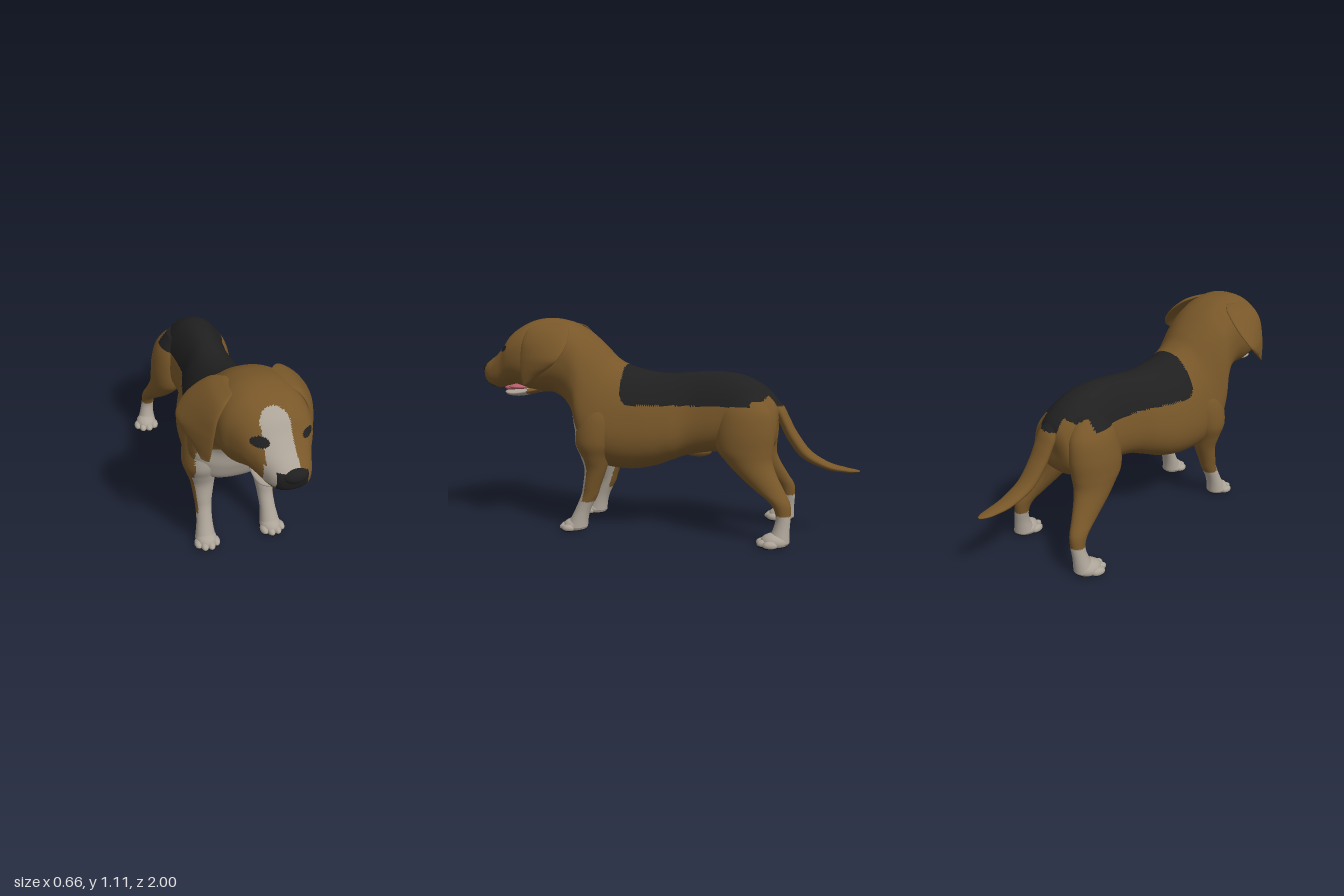
import * as THREE from 'three';

const material = (name, color) => {
  const m = new THREE.MeshStandardMaterial({ color });
  m.name = name;
  return m;
};

// Smooth curve through a list of equal-length rows
function smoothRows(rows, steps) {
  const out = [];
  const at = (i) => rows[Math.max(0, Math.min(rows.length - 1, i))];
  for (let i = 0; i < rows.length - 1; i++) {
    for (let k = 0; k < steps; k++) {
      const t = k / steps;
      out.push(rows[i].map((b, c) => {
        const a = at(i - 1)[c], d = at(i + 1)[c], e = at(i + 2)[c];
        return b + 0.5 * t * (d - a + t * (2 * a - 5 * b + 4 * d - e + t * (3 * (b - d) + e - a)));
      }));
    }
  }
  out.push(rows[rows.length - 1]);
  return out;
}

// Skin over rings given as [zA, yA, zB, yB, halfWidth, xA, xB]:
// A and B are opposite ends of the ring, taper(z) narrows it toward A,
// paint(x, y, z) picks a material index.
function loft(name, rows, { materials, steps = 6, sides = 40, power = 1, taper = () => 0, paint = () => 0 }) {
  const rings = smoothRows(rows.map((r) => (r.length < 7 ? [...r, r[5]] : r)), steps);
  const pos = [], faces = [];
  const bend = (v) => Math.sign(v) * Math.pow(Math.abs(v), power);
  for (const [zA, yA, zB, yB, w, xA, xB] of rings) {
    const narrow = taper((zA + zB) / 2);
    for (let j = 0; j < sides; j++) {
      const a = (j / sides) * Math.PI * 2, c = bend(Math.cos(a)), s = bend(Math.sin(a));
      pos.push((xA + xB) / 2 + w * c * (1 - narrow * s) + s * (xA - xB) / 2,
        (yA + yB) / 2 + s * (yA - yB) / 2, (zA + zB) / 2 + s * (zA - zB) / 2);
    }
  }
  for (const r of [rings[0], rings[rings.length - 1]]) pos.push((r[5] + r[6]) / 2, (r[1] + r[3]) / 2, (r[0] + r[2]) / 2);
  const last = rings.length - 1, cap = rings.length * sides;
  for (let j = 0; j < sides; j++) {
    const n = (j + 1) % sides;
    for (let i = 0; i < last; i++) {
      const a = i * sides + j, b = i * sides + n;
      faces.push([a, b, b + sides], [a, b + sides, a + sides]);
    }
    faces.push([cap, n, j], [cap + 1, last * sides + j, last * sides + n]);
  }
  // Sort faces by colour
  const buckets = materials.map(() => []);
  for (const f of faces) {
    const mid = [0, 1, 2].map((c) => (pos[f[0] * 3 + c] + pos[f[1] * 3 + c] + pos[f[2] * 3 + c]) / 3);
    buckets[paint(...mid)].push(...f);
  }
  const geo = new THREE.BufferGeometry();
  geo.setAttribute('position', new THREE.Float32BufferAttribute(pos, 3));
  geo.setIndex(buckets.flat());
  let start = 0;
  buckets.forEach((b, i) => {
    if (b.length) geo.addGroup(start, b.length, i);
    start += b.length;
  });
  geo.computeVertexNormals();
  const mesh = new THREE.Mesh(geo, materials);
  mesh.name = name;
  return mesh;
}

function blob(name, mat, [x, y, z], [rx, ry, rz], floor = -Infinity) {
  const geo = new THREE.SphereGeometry(1, 20, 12).scale(rx, ry, rz).translate(x, y, z);
  const p = geo.attributes.position;
  for (let i = 0; i < p.count; i++) p.setY(i, Math.max(floor, p.getY(i)));
  geo.computeVertexNormals();
  const mesh = new THREE.Mesh(geo, mat);
  mesh.name = name;
  return mesh;
}

// Paw with four toes and dark pads, toes toward +z
function paw(name, x, z, size, turn, coat, dark) {
  const g = new THREE.Group();
  g.name = name;
  g.add(blob('pawBody', coat, [0, 0.024, 0.004], [0.055, 0.04, 0.064], 0.008));
  g.add(blob('heelPad', dark, [0, 0.008, -0.006], [0.046, 0.008, 0.05]));
  for (const [dx, dz] of [[-0.046, 0.03], [-0.017, 0.052], [0.017, 0.052], [0.046, 0.03]]) {
    g.add(blob('toe', coat, [dx, 0.018, dz], [0.021, 0.02, 0.034], 0.008));
    g.add(blob('toePad', dark, [dx, 0.008, dz + 0.002], [0.018, 0.008, 0.031]));
  }
  g.position.set(x, 0, z);
  g.rotation.y = turn;
  g.scale.setScalar(size);
  return g;
}

const inOval = (x, y, cx, cy, rx, ry) => ((x - cx) / rx) ** 2 + ((y - cy) / ry) ** 2 < 1;

// Colour rules: 0 brown, 1 black, 2 white
const onSaddle = (x, y, z) => z < 0.21 && z > -0.62 && y > 0.672 &&
  (z < 0.145 || y > 0.735 || inOval(z, y, 0.145, 0.735, 0.065, 0.065)) &&
  (z > -0.46 || Math.abs(x - 0.02) < 0.062 || inOval(x, z, 0.015, -0.46, 0.14, 0.09));
const onChest = (x, y, z) => {
  const ax = Math.abs(x);
  return z > 0.36 && y < 0.63 && y > 0.37 && ax < 0.222 &&
    (ax < 0.18 || y < 0.58 || inOval(ax, y, 0.18, 0.58, 0.042, 0.05));
};
function paintBody(x, y, z) {
  if (onSaddle(x, y, z)) return 1;
  if (z < 0.6) return onChest(x, y, z) ? 2 : 0;
  if (z > 0.78 && (inOval(x, y, -0.065, 0.953, 0.038, 0.022) || inOval(x, y, 0.15, 0.951, 0.028, 0.017))) return 1;
  if (z > 0.925 && x > -0.025 && x < 0.108 && y < 0.86) return 1;
  const left = y < 0.87 ? -0.063 : -0.052;
  const blaze = y > 1.01 ? inOval(x, y, 0.01, 1.01, 0.066, 0.055) : y > 0.785 && x > left && x < 0.075;
  return z > 0.77 && blaze ? 2 : 0;
}

export function createModel() {
  const dog = new THREE.Group();
  dog.name = 'dog';
  const brown = material('brownCoat', 0x785729);
  const black = material('blackCoat', 0x202020);
  const white = material('whiteCoat', 0xada498);
  const pink = material('pinkTongue', 0xb8606c);
  const dark = material('darkPads', 0x141414);
  const coat = [brown, black, white];

  // Torso, neck, head and muzzle in one skin
  dog.add(loft('bodyAndHead', [
    [-0.6, 0.67, -0.585, 0.56, 0.05, 0.02],
    [-0.57, 0.72, -0.58, 0.48, 0.12, 0.015],
    [-0.5, 0.78, -0.53, 0.43, 0.16, 0.01],
    [-0.4, 0.825, -0.42, 0.42, 0.172, 0.01],
    [-0.28, 0.84, -0.28, 0.425, 0.156, 0.01],
    [-0.15, 0.835, -0.14, 0.405, 0.15, 0.01],
    [-0.02, 0.826, -0.05, 0.375, 0.183, 0.005],
    [0.09, 0.837, 0.05, 0.337, 0.208, 0],
    [0.2, 0.866, 0.17, 0.316, 0.22, 0],
    [0.27, 0.905, 0.3, 0.327, 0.23, 0],
    [0.32, 0.955, 0.41, 0.37, 0.236, 0],
    [0.37, 1.0, 0.455, 0.47, 0.235, 0],
    [0.42, 1.04, 0.475, 0.58, 0.222, 0],
    [0.47, 1.07, 0.53, 0.665, 0.205, 0],
    [0.53, 1.095, 0.6, 0.71, 0.2, 0],
    [0.62, 1.11, 0.67, 0.715, 0.202, 0],
    [0.7, 1.1, 0.735, 0.73, 0.2, 0.008],
    [0.76, 1.073, 0.775, 0.745, 0.184, 0.02],
    [0.82, 1.03, 0.815, 0.757, 0.16, 0.03],
    [0.865, 0.97, 0.86, 0.748, 0.13, 0.037],
    [0.91, 0.92, 0.905, 0.737, 0.108, 0.044],
    [0.95, 0.89, 0.945, 0.745, 0.088, 0.048],
    [0.978, 0.865, 0.972, 0.768, 0.063, 0.052],
    [0.99, 0.84, 0.985, 0.805, 0.03, 0.054],
  ], {
    materials: coat, steps: 11, sides: 120, power: 0.86, paint: paintBody,
    taper: (z) => 0.26 * (1 - THREE.MathUtils.smoothstep(z, 0.3, 0.55)),
  }));

  // Nose, mouth, lower jaw and belly detail
  dog.add(blob('nose', black, [0.054, 0.838, 0.962], [0.061, 0.038, 0.038]));
  dog.add(blob('mouthLining', pink, [0.028, 0.742, 0.8], [0.082, 0.015, 0.07]));
  dog.add(blob('tongue', pink, [0.034, 0.736, 0.848], [0.05, 0.015, 0.045]));
  dog.add(loft('lowerJaw', [
    [0.68, 0.75, 0.68, 0.715, 0.06, 0.015], [0.74, 0.742, 0.74, 0.7, 0.083, 0.02],
    [0.8, 0.732, 0.8, 0.69, 0.088, 0.026], [0.85, 0.726, 0.85, 0.694, 0.076, 0.029],
    [0.88, 0.722, 0.88, 0.706, 0.038, 0.031],
  ], { materials: [white, brown], paint: (x, y, z) => (z < 0.745 ? 1 : 0) }));
  dog.add(blob('bellySheath', brown, [0.01, 0.418, -0.17], [0.026, 0.03, 0.075]));

  // Tail, from tip to root
  dog.add(loft('tail', [
    [-1.0, 0.354, -0.998, 0.348, 0.008, 0.035], [-0.975, 0.36, -0.97, 0.344, 0.024, 0.035],
    [-0.93, 0.368, -0.925, 0.343, 0.034, 0.034],
    [-0.847, 0.39, -0.835, 0.354, 0.044, 0.032], [-0.756, 0.445, -0.713, 0.407, 0.051, 0.028],
    [-0.686, 0.535, -0.638, 0.498, 0.056, 0.024], [-0.645, 0.61, -0.6, 0.57, 0.059, 0.022],
    [-0.61, 0.675, -0.575, 0.615, 0.059, 0.02], [-0.54, 0.74, -0.54, 0.64, 0.05, 0.02],
  ], { materials: coat, steps: 8, paint: (x, y, z) => (onSaddle(x, y, z) ? 1 : 0) }));

  // Leg rows: y, x, z, half width, half depth
  const foreRows = [
    [0.7, 0.15, 0.33, 0.05, 0.07], [0.6, 0.163, 0.335, 0.085, 0.105], [0.48, 0.174, 0.345, 0.092, 0.102],
    [0.4, 0.168, 0.345, 0.078, 0.075], [0.33, 0.163, 0.345, 0.062, 0.058], [0.24, 0.167, 0.365, 0.048, 0.047],
    [0.19, 0.169, 0.378, 0.042, 0.044], [0.12, 0.173, 0.41, 0.041, 0.041], [0.07, 0.176, 0.43, 0.046, 0.046],
    [0.02, 0.178, 0.447, 0.054, 0.058],
  ];
  const hindRows = [
    [0.74, 0.09, -0.42, 0.04, 0.07], [0.65, 0.115, -0.43, 0.08, 0.13], [0.55, 0.13, -0.43, 0.094, 0.148],
    [0.46, 0.142, -0.432, 0.09, 0.142], [0.4, 0.153, -0.455, 0.08, 0.118], [0.34, 0.172, -0.497, 0.065, 0.098],
    [0.27, 0.196, -0.56, 0.048, 0.074], [0.21, 0.217, -0.617, 0.04, 0.05], [0.15, 0.226, -0.634, 0.036, 0.037],
    [0.09, 0.236, -0.628, 0.039, 0.04], [0.02, 0.245, -0.612, 0.054, 0.056],
  ];
  const paintFore = (x, y, z) => {
    if (y < 0.16) return 2;
    if (y > 0.4) return onChest(x, y, z) ? 2 : 0;
    const mid = y > 0.33 ? 0.345 : 0.345 + (0.33 - y) * 0.24;
    return z - mid > 0.7 * (Math.abs(x) - 0.167) ? 2 : 0;
  };
  const paintHind = (x, y, z) => (y < 0.155 ? 2 : onSaddle(x, y, z) ? 1 : 0);
  const earRows = [
    [0.66, 1.08, 0.54, 1.085, 0.015, 0.115, 0.105], [0.7, 1.05, 0.485, 1.06, 0.03, 0.165, 0.155],
    [0.717, 0.99, 0.463, 0.985, 0.026, 0.203, 0.24], [0.723, 0.92, 0.49, 0.91, 0.021, 0.218, 0.295],
    [0.722, 0.86, 0.54, 0.865, 0.018, 0.226, 0.29], [0.717, 0.81, 0.615, 0.817, 0.014, 0.232, 0.26],
    [0.708, 0.768, 0.68, 0.773, 0.006, 0.236, 0.242],
  ];

  for (const s of [1, -1]) {
    const side = s > 0 ? 'left' : 'right';
    const leg = ([y, x, z, w, d]) => [z + d, y, z - d, y, w, s * x];
    dog.add(loft(side + 'FrontLeg', foreRows.map(leg), { materials: coat, steps: 8, sides: 48, paint: paintFore }));
    dog.add(loft(side + 'HindLeg', hindRows.map(leg), { materials: coat, steps: 8, sides: 48, paint: paintHind }));
    dog.add(paw(side + 'FrontPaw', s * 0.177, 0.452, 1, s * 0.08, white, dark));
    dog.add(paw(side + 'HindPaw', s * 0.25, -0.6, 1.08, s * 0.2, white, dark));
    // Ears hang and flare outward at the rear edge
    const spread = s > 0 ? 1 : 1.09;
    dog.add(loft(side + 'Ear', earRows.map(([a, b, c, d, w, x, xr]) => [a, b, c, d, w, s * x, s * xr * spread]),
      { materials: [brown] }));
  }
  return dog;
}
